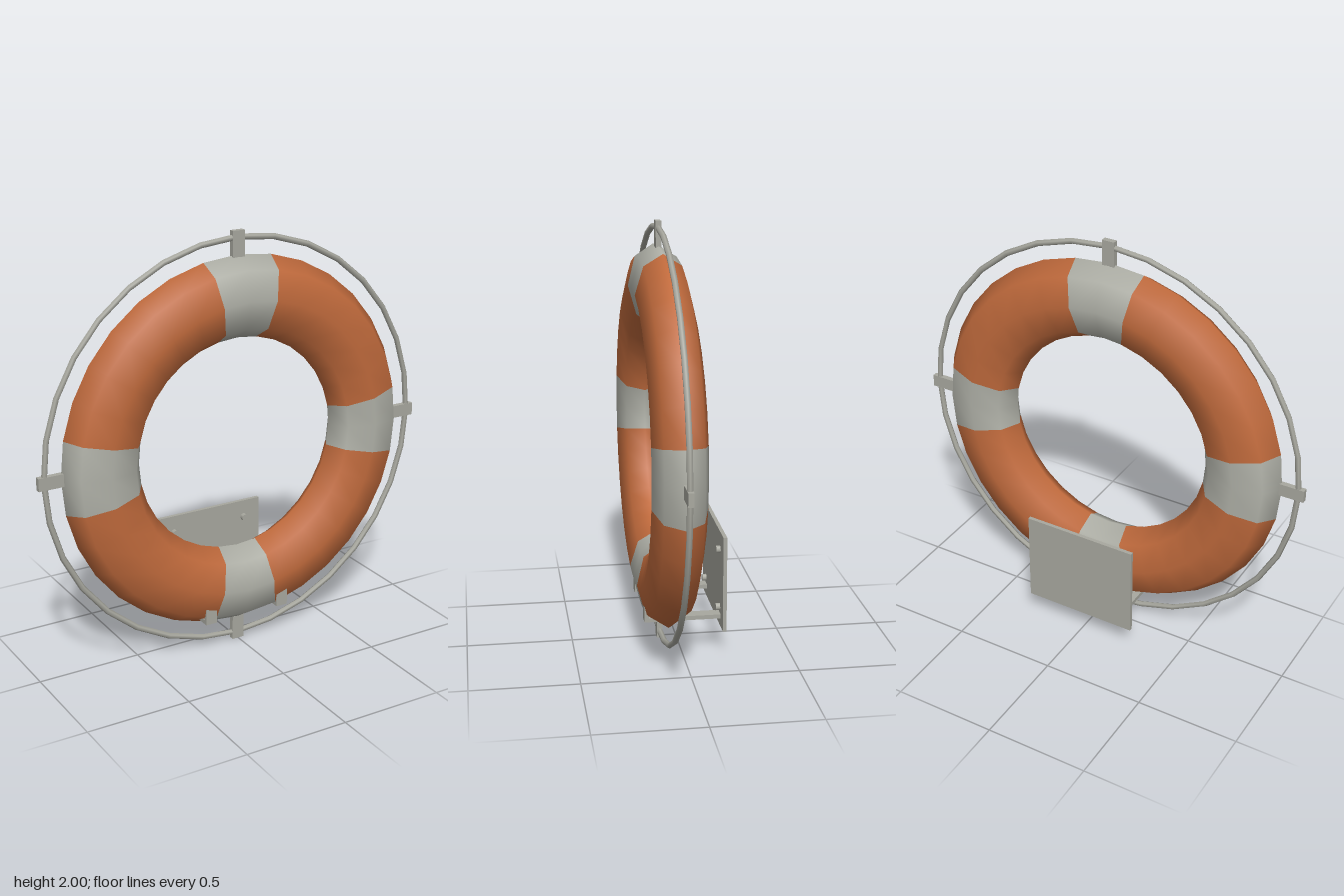
import * as THREE from 'three';

export function createModel() {
  const model = new THREE.Group();
  const mat = (name, color) => {
    const m = new THREE.MeshStandardMaterial({ color });
    m.name = name;
    return m;
  };
  const orange = mat('orange', 0xc06a3c);
  const pale = mat('paleGrey', 0xb0b1a8);
  const metal = mat('metalGrey', 0xa8a89f);

  const add = (parent, name, geometry, material, x = 0, y = 0, z = 0) => {
    const mesh = new THREE.Mesh(geometry, material);
    mesh.name = name;
    mesh.position.set(x, y, z);
    parent.add(mesh);
    return mesh;
  };

  // Everything round shares this centre
  const ring = new THREE.Group();
  ring.name = 'lifeRing';
  ring.position.set(0, 1, 0.08);
  model.add(ring);

  // Flattened eight-sided tube, 32 segments round: four orange arcs, four pale bands
  const arc = (segments) =>
    new THREE.TorusGeometry(0.7, 0.19, 8, segments, segments * Math.PI / 16)
      .scale(1, 1, 0.122 / 0.19);
  const step = Math.PI / 16;
  const floatArc = arc(6), bandArc = arc(2);
  const clip = new THREE.BoxGeometry(0.12, 0.06, 0.026);
  for (let i = 0; i < 4; i++) {
    const a = i * Math.PI / 2;
    add(ring, 'band', bandArc, pale).rotation.z = a - step;
    add(ring, 'floatSection', floatArc, orange).rotation.z = a + step;
    // Clip holding the grab rope
    add(ring, 'ropeClip', clip, metal, 0.94 * Math.cos(a), 0.94 * Math.sin(a)).rotation.z = a;
  }

  // Grab rope
  add(ring, 'grabRope', new THREE.TorusGeometry(0.97, 0.014, 6, 32), metal);

  // Wall bracket: back plate, two arms with upturned lips, four bolts
  const bracket = new THREE.Group();
  bracket.name = 'wallBracket';
  model.add(bracket);
  add(bracket, 'backPlate', new THREE.BoxGeometry(0.565, 0.46, 0.018), metal, 0, 0.35, -0.191);
  const arm = new THREE.BoxGeometry(0.058, 0.02, 0.36);
  const lip = new THREE.BoxGeometry(0.058, 0.08, 0.02);
  const bolt = new THREE.CylinderGeometry(0.018, 0.018, 0.022, 8).rotateX(Math.PI / 2);
  for (const x of [-0.195, 0.195]) {
    add(bracket, 'arm', arm, metal, x, 0.172, -0.004);
    add(bracket, 'armLip', lip, metal, x, 0.202, 0.167);
    for (const y of [0.21, 0.495]) add(bracket, 'bolt', bolt, metal, x, y, -0.173);
  }

  return model;
}
